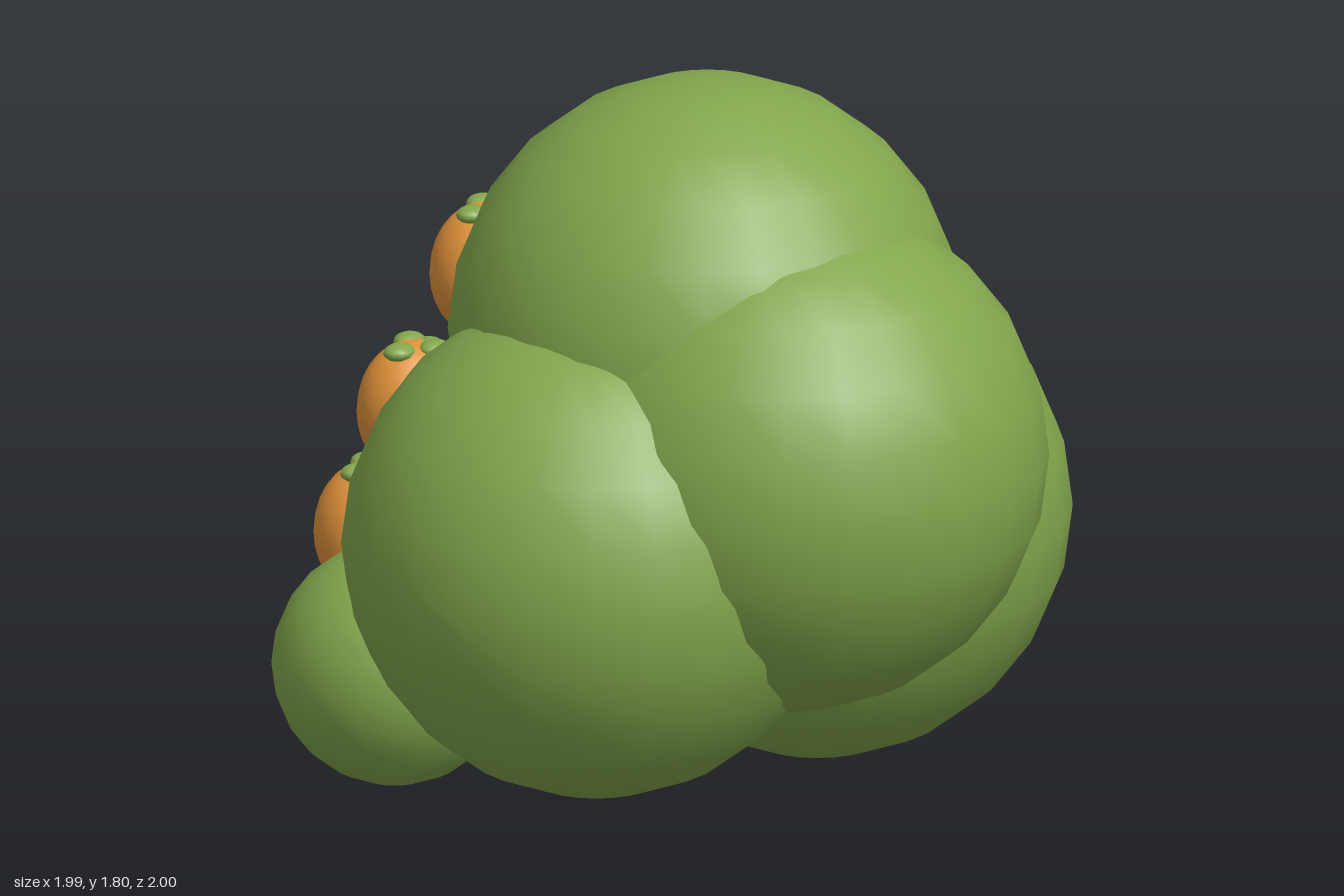
import * as THREE from 'three';

export function createModel() {
  const model = new THREE.Group();
  model.name = 'fruitingBush';

  const green = new THREE.MeshStandardMaterial({ color: 0x82a64c });
  green.name = 'leaf green';
  const orange = new THREE.MeshStandardMaterial({ color: 0xe0923a });
  orange.name = 'fruit orange';

  // shared unit spheres, scaled per part
  const foliageBall = new THREE.SphereGeometry(1, 24, 12);
  const fruitBall = new THREE.SphereGeometry(1, 20, 14);
  const leafBall = new THREE.SphereGeometry(1, 12, 8);

  const addBall = (parent, name, geometry, material, position, scale) => {
    const mesh = new THREE.Mesh(geometry, material);
    mesh.name = name;
    mesh.position.set(...position);
    mesh.scale.set(...scale);
    parent.add(mesh);
  };

  // foliage: five large clumps and three small ones near the ground
  const clumps = [
    ['topFoliage', 0, 1.17, 0.08, 0.63],
    ['frontFoliage', 0, 0.92, 0.37, 0.63],
    ['leftFoliage', 0.375, 0.64, 0.08, 0.62],
    ['rightFoliage', -0.375, 0.705, 0.08, 0.62],
    ['backFoliage', 0, 0.62, -0.2, 0.6],
    ['lowerLeftFoliage', 0.645, 0.345, -0.29, 0.3],
    ['lowerRightFoliage', -0.635, 0.36, -0.355, 0.3],
    ['lowerBackFoliage', 0, 0.31, -0.62, 0.31],
  ];
  for (const [name, x, y, z, r] of clumps) {
    addBall(model, name, foliageBall, green, [x, y, z], [r, r, r]);
  }

  // fruits on the back, each crowned by three small leaves
  const fruits = [
    [-0.05, 1.165, -0.64],
    [0.44, 0.99, -0.555],
    [-0.54, 0.98, -0.39],
    [-0.05, 0.755, -0.83],
    [0.305, 0.525, -0.765],
    [-0.36, 0.555, -0.725],
    [0, 0.29, -0.865],
  ];
  const leaves = [[-0.055, 0.01], [0.027, -0.04], [0.027, 0.047]];
  for (const [x, y, z] of fruits) {
    const fruit = new THREE.Group();
    fruit.name = 'fruit';
    fruit.position.set(x, y, z);
    addBall(fruit, 'fruitBody', fruitBall, orange, [0, 0, 0], [0.142, 0.172, 0.132]);
    for (const [lx, lz] of leaves) {
      addBall(fruit, 'fruitLeaf', leafBall, green, [lx, 0.157, lz], [0.043, 0.022, 0.036]);
    }
    model.add(fruit);
  }

  return model;
}
